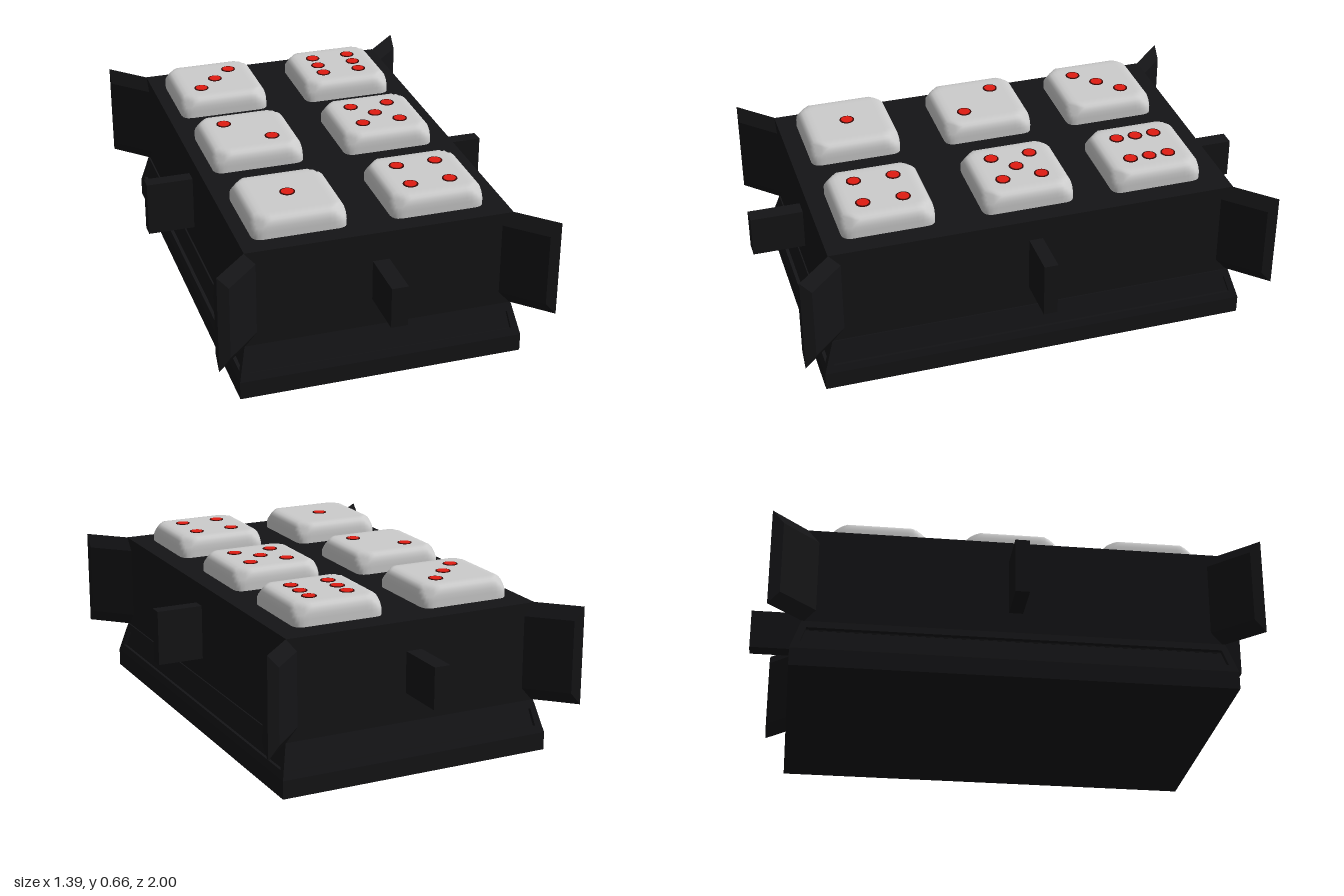
import * as THREE from 'three';
import { mergeVertices } from 'three/addons/utils/BufferGeometryUtils.js';
import { ConvexGeometry } from 'three/addons/geometries/ConvexGeometry.js';

const black = new THREE.MeshStandardMaterial({ color: 0x141416 });
const bone = new THREE.MeshStandardMaterial({ color: 0xcccccc });
const red = new THREE.MeshStandardMaterial({ color: 0xe01c12 });
const rimDark = new THREE.MeshStandardMaterial({ color: 0x3a0806 });

function add(parent, name, geometry, material, x = 0, y = 0, z = 0) {
  const mesh = new THREE.Mesh(geometry, material);
  mesh.name = name;
  mesh.position.set(x, y, z);
  parent.add(mesh);
  return mesh;
}

// Block whose top rectangle differs from its bottom rectangle (half sizes)
function taperedBlock(bx, bz, tx, tz, y0, y1) {
  const pts = [];
  for (const sx of [-1, 1]) for (const sz of [-1, 1]) {
    pts.push(new THREE.Vector3(sx * bx, y0, sz * bz), new THREE.Vector3(sx * tx, y1, sz * tz));
  }
  return new ConvexGeometry(pts);
}

// Sloped skirt side with a long sunken panel
function skirtSide(bottom, top, run) {
  const h = Math.hypot(0.125, run);
  const outline = (b, t, y0, y1) => [[-b, y0], [b, y0], [t, y1], [-t, y1]].map(p => new THREE.Vector2(...p));
  const shape = new THREE.Shape(outline(bottom, top, 0, h));
  shape.holes.push(new THREE.Path(outline(bottom - 0.036, top - 0.017, 0.03, 0.099)));
  const g = new THREE.ExtrudeGeometry(shape, { depth: 0.015, bevelEnabled: false });
  g.translate(0, 0, -0.015);
  g.rotateX(-Math.atan2(run, 0.125));
  return g;
}

// Upright slab whose top, bottom and outer edges come to a sharp rim
function finGeometry(reach) {
  const pts = [];
  const w = 0.031;
  for (const x of [-0.06, reach]) for (const y of [0.195, 0.58]) pts.push(new THREE.Vector3(x, y, 0));
  for (const x of [-0.06, reach - 0.03]) for (const y of [0.245, 0.53]) {
    pts.push(new THREE.Vector3(x, y, w), new THREE.Vector3(x, y, -w));
  }
  return new ConvexGeometry(pts);
}

// Soft-edged cube with its corners ground down to a sphere
function dieGeometry() {
  const half = 0.18, r = 0.035, n = 20;
  let g = new THREE.BoxGeometry(2 * half, 2 * half, 2 * half, n, n, n);
  const p = g.attributes.position;
  const v = new THREE.Vector3(), c = new THREE.Vector3();
  const lim = new THREE.Vector3().setScalar(half - r);
  const low = lim.clone().negate();
  for (let i = 0; i < p.count; i++) {
    v.fromBufferAttribute(p, i);
    c.copy(v).clamp(low, lim);
    v.sub(c).setLength(r).add(c);
    if (v.length() > 0.27) v.setLength(0.27);
    p.setXYZ(i, v.x, v.y, v.z);
  }
  g.deleteAttribute('normal');
  g.deleteAttribute('uv');
  g = mergeVertices(g, 1e-4);
  g.computeVertexNormals();
  return g;
}

export function createModel() {
  const model = new THREE.Group();

  // Plinth and its four panelled slopes
  const plinth = new THREE.Group();
  plinth.name = 'plinth';
  model.add(plinth);
  add(plinth, 'footSlab', new THREE.BoxGeometry(1.1, 0.07, 1.68), black, 0, 0.035, 0);
  add(plinth, 'skirtCore', taperedBlock(0.534, 0.824, 0.504, 0.784, 0.06, 0.19), black);
  for (const s of [-1, 1]) {
    const end = add(plinth, 'skirtEnd', skirtSide(0.55, 0.52, 0.04), black, 0, 0.07, s * 0.84);
    end.rotation.y = s > 0 ? 0 : Math.PI;
    const flank = add(plinth, 'skirtFlank', skirtSide(0.84, 0.8, 0.03), black, s * 0.55, 0.07, 0);
    flank.rotation.y = s * Math.PI / 2;
  }

  // Main box
  add(model, 'body', new THREE.BoxGeometry(1.026, 0.42, 1.59), black, 0, 0.37, 0);

  // Lugs in the middle of each wall
  for (const s of [-1, 1]) {
    add(model, 'sideLug', new THREE.BoxGeometry(0.2, 0.215, 0.054), black, s * 0.596, 0.387, 0);
    add(model, 'endLug', new THREE.BoxGeometry(0.064, 0.16, 0.22), black, 0, 0.386, s * 0.89);
  }

  // Diagonal corner fins
  const fin = finGeometry(0.19);
  for (const sx of [-1, 1]) for (const sz of [-1, 1]) {
    const mesh = add(model, 'cornerFin', fin, black, sx * 0.513, 0, sz * 0.793);
    mesh.rotation.y = Math.atan2(-sz, sx);
  }

  // Dice sunk in the top, with pips in steps of d
  const d = 0.077;
  const corners = [[-1, -1], [1, -1], [-1, 1], [1, 1]];
  const faces = [
    [-0.278, 0.54, [[0, 0]]],
    [-0.278, -0.003, [[-1, -1], [1, 1]]],
    [-0.278, -0.518, [[1, -1], [0, 0], [-1, 1]]],
    [0.25, 0.54, corners],
    [0.25, -0.003, [...corners, [0, 0]]],
    [0.25, -0.518, [...corners, [-1, 0], [1, 0]]],
  ];
  const cube = dieGeometry();
  const rim = new THREE.CylinderGeometry(0.029, 0.029, 0.008, 20);
  const dot = new THREE.CylinderGeometry(0.023, 0.023, 0.008, 20);
  for (const [x, z, pips] of faces) {
    const die = new THREE.Group();
    die.name = 'die';
    die.position.set(x, 0.481, z);
    model.add(die);
    add(die, 'dieCube', cube, bone);
    for (const [px, pz] of pips) {
      add(die, 'pipRim', rim, rimDark, px * d, 0.1775, pz * d);
      add(die, 'pip', dot, red, px * d, 0.179, pz * d);
    }
  }
  return model;
}
